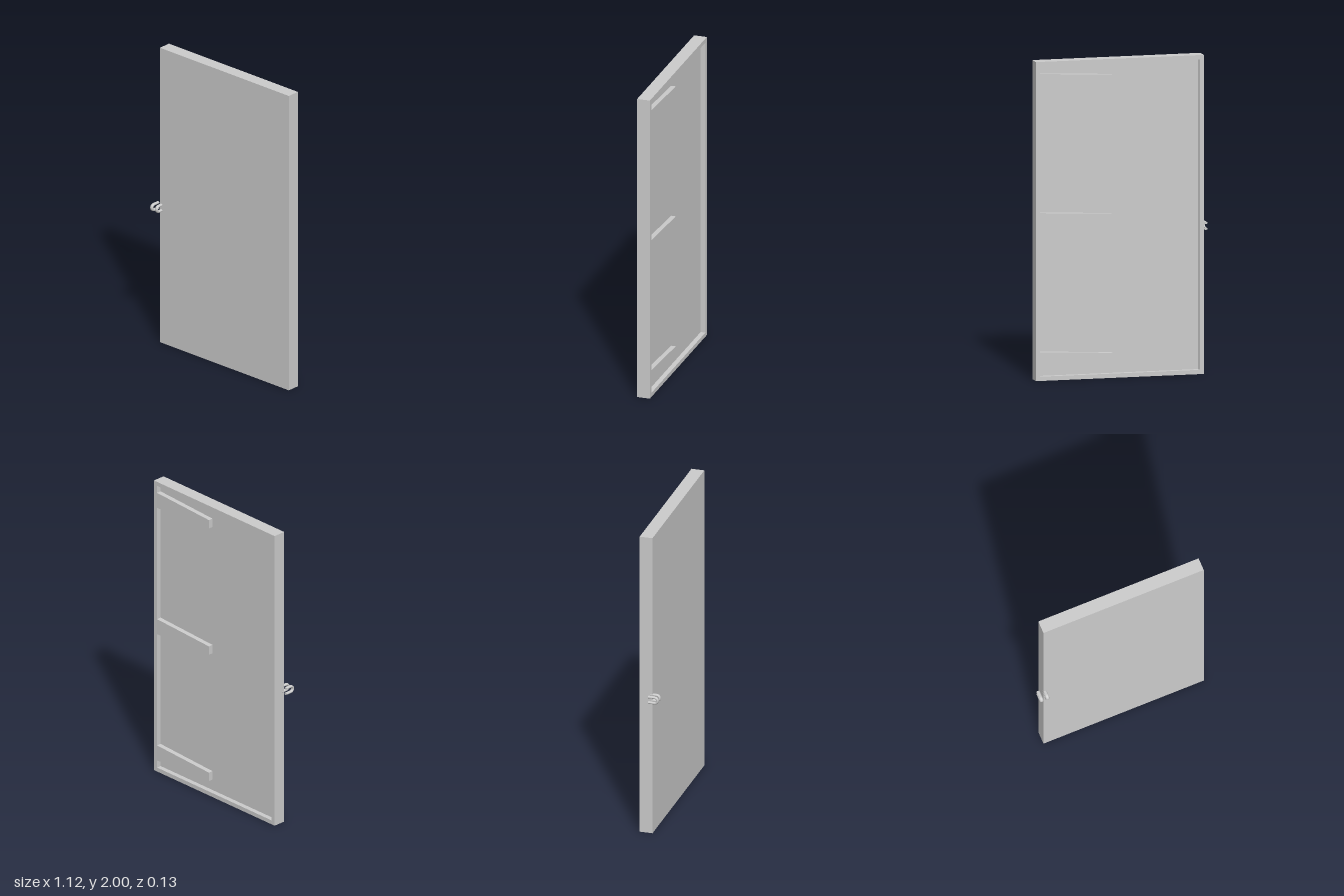
import * as THREE from 'three';

const X0 = -0.518, X1 = 0.557;          // door sides
const BACK = -0.068, FLOOR = -0.037, FRONT = 0.015; // back rim, recess floor, front face
const RIM = 0.027;

const flat = new THREE.MeshStandardMaterial({ color: 0xcccccc, flatShading: true });
const smooth = new THREE.MeshStandardMaterial({ color: 0xcccccc });

// Rim of the back face, with tapered hinge straps reaching in from the +x side
function rimAndStraps() {
  const shape = new THREE.Shape([
    new THREE.Vector2(X0, 0), new THREE.Vector2(X1, 0),
    new THREE.Vector2(X1, 2), new THREE.Vector2(X0, 2),
  ]);
  const l = X0 + RIM, r = X1 - RIM, tip = 0.067;
  const hole = new THREE.Path();
  hole.moveTo(l, 2 - RIM);
  hole.lineTo(l, RIM);
  hole.lineTo(r, RIM);
  for (const y of [0.128, 1, 1.872]) {
    hole.lineTo(r, y - 0.052);
    hole.lineTo(tip, y - 0.029);
    hole.lineTo(tip, y + 0.029);
    hole.lineTo(r, y + 0.052);
  }
  hole.lineTo(r, 2 - RIM);
  hole.closePath();
  shape.holes.push(hole);
  const geo = new THREE.ExtrudeGeometry(shape, { depth: FLOOR - BACK, bevelEnabled: false });
  geo.translate(0, 0, BACK);
  return geo;
}

// U-shaped loop: two straight legs joined by a half circle, wider in x than it is thick
function handleLoop(x) {
  const R = 0.0185, t = 0.008, start = -0.002, bend = 0.066 - t - R;
  const path = new THREE.CurvePath();
  const pts = [new THREE.Vector3(0, -R, start), new THREE.Vector3(0, -R, bend)];
  const arc = [];
  for (let i = 0; i <= 10; i++) {
    const a = -Math.PI / 2 + (Math.PI * i) / 10;
    arc.push(new THREE.Vector3(0, R * Math.sin(a), bend + R * Math.cos(a)));
  }
  path.add(new THREE.LineCurve3(...pts));
  path.add(new THREE.CatmullRomCurve3(arc));
  path.add(new THREE.LineCurve3(new THREE.Vector3(0, R, bend), new THREE.Vector3(0, R, start)));

  const loop = new THREE.Group();
  loop.name = 'handleLoop';
  const tube = new THREE.Mesh(new THREE.TubeGeometry(path, 32, t, 10, false), smooth);
  tube.name = 'handleBar';
  loop.add(tube);
  // Caps on the two leg ends
  for (const y of [-R, R]) {
    const cap = new THREE.Mesh(new THREE.CircleGeometry(t, 10), flat);
    cap.name = 'handleEnd';
    cap.rotation.y = Math.PI;
    cap.position.set(0, y, start);
    loop.add(cap);
  }
  loop.scale.x = 1.42;
  loop.position.set(x, 0.917, 0);
  return loop;
}

export function createModel() {
  const model = new THREE.Group();
  model.name = 'door';

  // Solid front panel
  const panel = new THREE.Mesh(new THREE.BoxGeometry(X1 - X0, 2, FRONT - FLOOR), flat);
  panel.name = 'doorPanel';
  panel.position.set((X0 + X1) / 2, 1, (FRONT + FLOOR) / 2);
  model.add(panel);

  const rim = new THREE.Mesh(rimAndStraps(), flat);
  rim.name = 'backRimAndHingeStraps';
  model.add(rim);

  // Pair of handle loops at the opening edge
  for (const x of [-0.548, -0.508]) model.add(handleLoop(x));
  return model;
}
